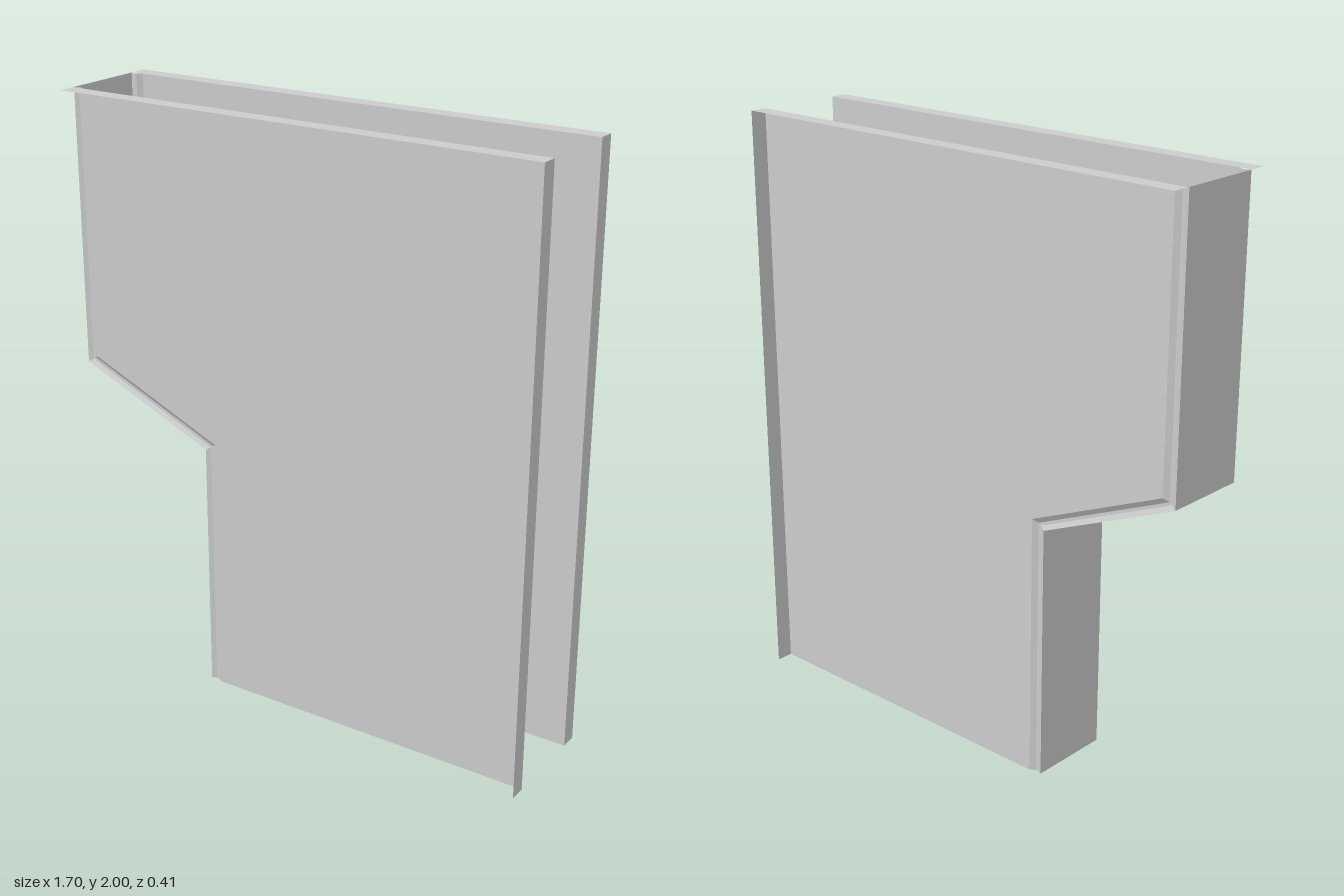
import * as THREE from 'three';

const material = new THREE.MeshStandardMaterial({ color: 0xcccccc, flatShading: true, side: THREE.DoubleSide });

// Sheet metal constants
const TOP = 2, EDGE = 0.85, PANEL_Z = 0.148, FLANGE_Z = 0.206;
const MITRE = 0.66; // vertical shift per unit of inset along the sloped step

// Stepped edge line, inset by d towards +x
const steppedEdge = (d) => [
  [-EDGE + d, TOP],
  [-EDGE + d, 1.07 + MITRE * d],
  [-0.36 + d, 0.86 + MITRE * d],
  [-0.36 + d, 0],
];

// Trim cross-section: [inset from the edge, distance from the middle plane]
const trimProfile = [[0, 0.143], [0.016, 0.136], [0.026, 0.136], [0.043, PANEL_Z]];

// Ruled surface between consecutive rows of points; flip reverses its facing
function loft(rows, flip) {
  const positions = [], index = [];
  const n = rows[0].length;
  rows.forEach((row) => row.forEach((p) => positions.push(...p)));
  for (let r = 0; r < rows.length - 1; r++) {
    for (let i = 0; i < n - 1; i++) {
      const a = r * n + i, b = a + 1, c = a + n, d = c + 1;
      if (flip) index.push(a, b, c, b, d, c);
      else index.push(a, c, b, b, c, d);
    }
  }
  const indexed = new THREE.BufferGeometry();
  indexed.setAttribute('position', new THREE.Float32BufferAttribute(positions, 3));
  indexed.setIndex(index);
  const geometry = indexed.toNonIndexed();
  geometry.computeVertexNormals();
  return geometry;
}

function addMesh(parent, name, geometry) {
  const mesh = new THREE.Mesh(geometry, material);
  mesh.name = name;
  parent.add(mesh);
  return mesh;
}

// One side: flat panel, grooved trim and two outward flanges
function createSide(name, s) {
  const side = new THREE.Group();
  side.name = name;

  const inset = trimProfile[trimProfile.length - 1][0];
  const outline = [...steppedEdge(inset), [EDGE, 0], [EDGE, TOP]];
  const shape = new THREE.Shape(outline.map(([x, y]) => new THREE.Vector2(x, y)));
  const panel = addMesh(side, 'sidePanel', new THREE.ShapeGeometry(shape));
  panel.position.z = s * PANEL_Z;
  if (s < 0) panel.geometry.scale(1, 1, -1).index.array.reverse();
  panel.geometry.computeVertexNormals();

  const rows = trimProfile.map(([d, z]) => steppedEdge(d).map(([x, y]) => [x, y, s * z]));
  addMesh(side, 'edgeTrim', loft(rows, s > 0));

  const topRows = [PANEL_Z, FLANGE_Z].map((z) => [[-EDGE, TOP, s * z], [EDGE, TOP, s * z]]);
  addMesh(side, 'topFlange', loft(topRows, s < 0));

  const openRows = [PANEL_Z, FLANGE_Z].map((z) => [[EDGE, TOP, s * z], [EDGE, 0, s * z]]);
  addMesh(side, 'openEdgeFlange', loft(openRows, s < 0));
  return side;
}

export function createModel() {
  const model = new THREE.Group();
  model.name = 'steppedCover';
  model.add(createSide('frontSide', 1), createSide('backSide', -1));

  // Stepped wall joining the two sides
  const z = trimProfile[0][1];
  const rows = [z, -z].map((w) => steppedEdge(0).map(([x, y]) => [x, y, w]));
  addMesh(model, 'steppedWall', loft(rows, false));
  return model;
}
